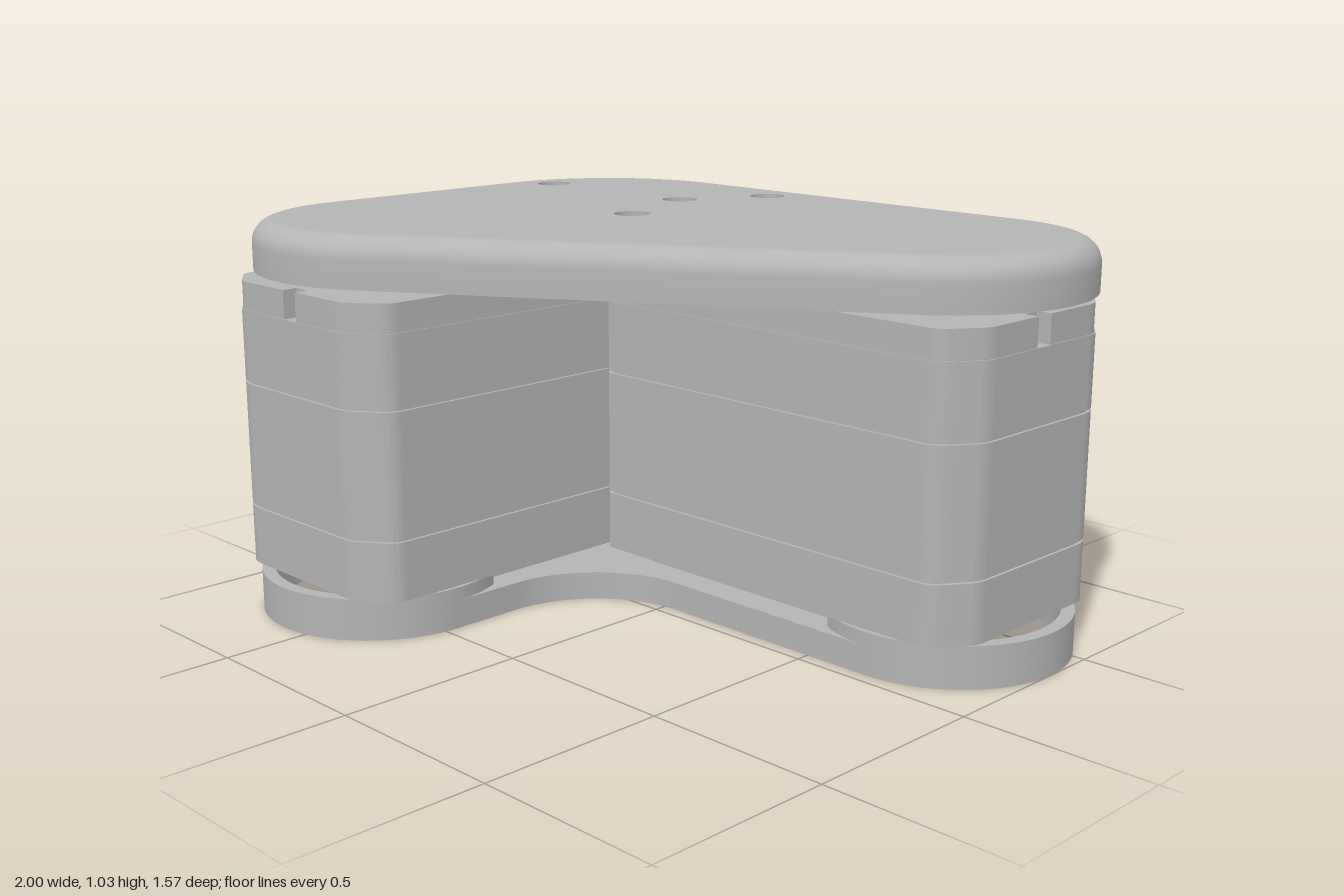
import * as THREE from 'three';
import { toCreasedNormals } from 'three/addons/utils/BufferGeometryUtils.js';

const PI = Math.PI;
const grey = new THREE.MeshStandardMaterial({ color: 0xb4b4b4, side: THREE.DoubleSide });
grey.name = 'plain grey';

function add(parent, name, geometry) {
  const mesh = new THREE.Mesh(geometry, grey);
  mesh.name = name;
  parent.add(mesh);
  return mesh;
}

// Plan shapes are drawn in (x, -z) and raised from y0 to y1
function slab(shape, y0, y1) {
  const g = new THREE.ExtrudeGeometry(shape, { depth: y1 - y0, bevelEnabled: false, curveSegments: 28 });
  g.rotateX(-PI / 2).translate(0, y0, 0);
  return toCreasedNormals(g, 0.5);
}

function circle(x, z, r) {
  return new THREE.Path().absarc(x, -z, r, 0, 2 * PI, true);
}

// Rounded rectangle path, centred on x, z
function roundedRect(x, z, w, d, r) {
  const p = new THREE.Path(), a = w / 2 - r, b = d / 2 - r;
  p.absarc(x + a, -z + b, r, 0, PI / 2);
  p.absarc(x - a, -z + b, r, PI / 2, PI);
  p.absarc(x - a, -z - b, r, PI, 1.5 * PI);
  p.absarc(x + a, -z - b, r, 1.5 * PI, 2 * PI);
  p.closePath();
  return p;
}

// Skin through a list of equally long cross-section loops
function loft(loops) {
  const n = loops[0].length, index = [];
  for (let i = 0; i < loops.length - 1; i++)
    for (let j = 0; j < n; j++) {
      const a = i * n + j, b = i * n + (j + 1) % n;
      index.push(a, b, b + n, a, b + n, a + n);
    }
  const g = new THREE.BufferGeometry();
  g.setAttribute('position', new THREE.Float32BufferAttribute(loops.flat(2), 3));
  g.setIndex(index);
  return toCreasedNormals(g, 0.6);
}

// Three-cornered cover outline: arcs of centre, radius and angles
const corners = [[0.58, 0.383, 0.405, -1.03, PI / 2], [-0.55, 0.34, 0.45, PI / 2, PI], [-0.58, -0.32, 0.42, PI, 2 * PI - 1.03]];
function coverOutline(inset) {
  const pts = [];
  for (const [x, y, r, a0, a1] of corners)
    for (let i = 0; i <= 20; i++) {
      const a = a0 + (a1 - a0) * i / 20;
      pts.push(new THREE.Vector2(x + (r - inset) * Math.cos(a), y + (r - inset) * Math.sin(a)));
    }
  return pts;
}

function buildCover() {
  const cover = new THREE.Group();
  cover.name = 'cover';
  // Rim with rounded upper edge
  const profile = [[0.035, 0.93], [0.035, 0.9], [0, 0.9]];
  for (let i = 0; i <= 8; i++) {
    const a = i / 8 * PI / 2;
    profile.push([0.06 * (1 - Math.cos(a)), 0.97 + 0.06 * Math.sin(a)]);
  }
  add(cover, 'coverRim', loft(profile.map(([inset, y]) => coverOutline(inset).map(p => [p.x, y, -p.y]))));
  // Lid in two layers so the screw holes are stepped
  const screws = [[-0.19, -0.63], [-0.84, -0.4], [-0.31, -0.4], [-0.19, -0.1]];
  for (const [name, inset, r, y0, y1] of [['lidTop', 0.06, 0.048, 0.99, 1.03], ['lidUnderside', 0.034, 0.027, 0.93, 0.99]]) {
    const s = new THREE.Shape(coverOutline(inset));
    for (const [x, z] of screws) s.holes.push(circle(x, z, r));
    add(cover, name, slab(s, y0, y1));
  }
  // Corner skirt: its lower edge sweeps up to the rim at both ends
  const R = 0.34, sweep = [];
  for (let i = 0; i <= 24; i++) {
    const a = i / 24 * PI;
    sweep.push(a < PI / 2 ? [-R + R * Math.sin(a), 0.56 - R * Math.cos(a)] : [R - R * Math.sin(a), 0.56 - R * Math.cos(a)]);
  }
  const path = [];
  for (const [t, y] of [...sweep].reverse()) path.push([0.27 + t, -0.788, 0, -1, y]);
  for (let i = 0; i <= 20; i++) {
    const a = PI / 2 + i / 20 * PI / 2, c = Math.cos(a), s = Math.sin(a);
    path.push([-0.55 + 0.45 * c, -0.338 - 0.45 * s, c, -s, 0.22]);
  }
  for (const [t, y] of sweep) path.push([-1, 0.04 + t, -1, 0, y]);
  const w = 0.035;
  add(cover, 'cornerSkirt', loft(path.map(([x, z, nx, nz, y]) => [
    [x, 0.915, z], [x - nx * w, 0.915, z - nz * w], [x - nx * w, y, z - nz * w], [x, y, z]])));
  return cover;
}

// Servo with its shaft on the local origin and its body reaching to -x
function buildServo(name) {
  const servo = new THREE.Group();
  servo.name = name;
  const body = (inset, notch) => {
    const e = 0.26 - inset, b = -0.92 + inset, w = 0.32 - inset, c = 0.1;
    const s = new THREE.Shape();
    s.moveTo(b + 0.03, -w).lineTo(e - c, -w);
    s.quadraticCurveTo(e - 0.07, -w, e - 0.05, -w + 0.03);
    s.lineTo(e - 0.015, -w + 0.08);
    s.quadraticCurveTo(e, -w + 0.1, e, -w + 0.13);
    if (notch) s.lineTo(e, -0.026).lineTo(e - 0.04, -0.026).lineTo(e - 0.04, 0.026).lineTo(e, 0.026);
    s.lineTo(e, w - 0.13);
    s.quadraticCurveTo(e, w - 0.1, e - 0.015, w - 0.08);
    s.lineTo(e - 0.05, w - 0.03);
    s.quadraticCurveTo(e - 0.07, w, e - c, w);
    s.lineTo(b + 0.03, w).lineTo(b, w - 0.03).lineTo(b, -w + 0.03);
    return s;
  };
  add(servo, 'lowerCase', slab(body(0), 0.115, 0.27));
  add(servo, 'middleCase', slab(body(0), 0.277, 0.605));
  add(servo, 'upperCase', slab(body(0), 0.612, 0.8));
  add(servo, 'notchedCaseTop', slab(body(0.003, true), 0.8, 0.875));
  add(servo, 'seamCore', slab(body(0.008), 0.2, 0.7));
  // Raised pads with sloped ends above and below the case
  const pad = new THREE.Shape([[-0.8, 0.075], [-0.17, 0.075], [-0.13, 0.12], [-0.13, 0.87], [-0.11, 0.905], [-0.11, 0.93], [-0.92, 0.93], [-0.92, 0.12]]
    .map(p => new THREE.Vector2(...p)));
  add(servo, 'raisedPads', new THREE.ExtrudeGeometry(pad, { depth: 0.48, bevelEnabled: false }).translate(0, 0, -0.24));
  // Output horn on top, idler flange and splined socket below
  add(servo, 'outputHorn', new THREE.CylinderGeometry(0.115, 0.115, 0.07, 40)).position.y = 0.9;
  add(servo, 'idlerFlange', new THREE.CylinderGeometry(0.17, 0.17, 0.015, 40)).position.y = 0.11;
  const socket = new THREE.Shape().absarc(0, 0, 0.085, 0, 2 * PI);
  const teeth = [];
  for (let i = 0; i < 48; i++) {
    const r = i % 2 ? 0.058 : 0.068, a = -i / 48 * 2 * PI;
    teeth.push(new THREE.Vector2(r * Math.cos(a), r * Math.sin(a)));
  }
  socket.holes.push(new THREE.Path(teeth));
  add(servo, 'splinedSocket', slab(socket, 0.06, 0.105));
  add(servo, 'socketScrew', new THREE.CylinderGeometry(0.03, 0.03, 0.02, 20)).position.y = 0.095;
  return servo;
}

function buildBase() {
  const base = new THREE.Group();
  base.name = 'base';
  const outline = () => {
    const s = new THREE.Shape();
    s.moveTo(-0.9, 0.355).lineTo(-0.9, -0.46);
    s.absarc(-0.58, -0.46, 0.32, PI, 2 * PI);
    s.lineTo(-0.26, -0.265);
    s.absarc(0.04, -0.265, 0.3, PI, PI / 2, true);
    s.lineTo(0.68, 0.035);
    s.absarc(0.68, 0.355, 0.32, -PI / 2, PI / 2);
    s.lineTo(-0.58, 0.675);
    s.absarc(-0.58, 0.355, 0.32, PI / 2, PI);
    s.holes.push(circle(-0.58, 0.46, 0.285), circle(0.68, -0.355, 0.285));
    s.holes.push(roundedRect(-0.52, -0.56, 0.44, 0.09, 0.044)); // cable slot
    return s;
  };
  // Lower layer holds the pockets and screw recesses, upper layer closes them
  const lower = outline();
  lower.holes.push(roundedRect(0.08, -0.355, 0.4, 0.21, 0.025), roundedRect(-0.58, -0.15, 0.21, 0.4, 0.025));
  for (const l of [-0.22, -0.76])
    for (const side of [-0.27, 0.27])
      lower.holes.push(circle(0.68 + l, -0.355 + side, 0.036), circle(-0.58 + side, 0.46 + l, 0.036));
  add(base, 'pocketedFloor', slab(lower, 0, 0.035));
  add(base, 'upperFloor', slab(outline(), 0.035, 0.075));
  // Raised collars around the outer part of each shaft opening
  for (const [x, z, turn] of [[0.68, -0.355, 0], [-0.58, 0.46, -PI / 2]]) {
    const s = new THREE.Shape();
    s.absarc(0, 0, 0.32, -2.05, 2.05);
    s.absarc(0, 0, 0.285, 2.05, -2.05, true);
    const collar = add(base, 'shaftCollar', slab(s, 0.07, 0.11));
    collar.position.set(x, 0, z);
    collar.rotation.y = turn;
  }
  return base;
}

export function createModel() {
  const model = new THREE.Group();
  model.name = 'twoServoUnit';
  const sideServo = buildServo('sideServo');
  sideServo.position.set(0.67, 0, -0.36);
  const frontServo = buildServo('frontServo');
  frontServo.position.set(-0.58, 0, 0.46);
  frontServo.rotation.y = -PI / 2;
  model.add(buildBase(), sideServo, frontServo, buildCover());
  return model;
}
